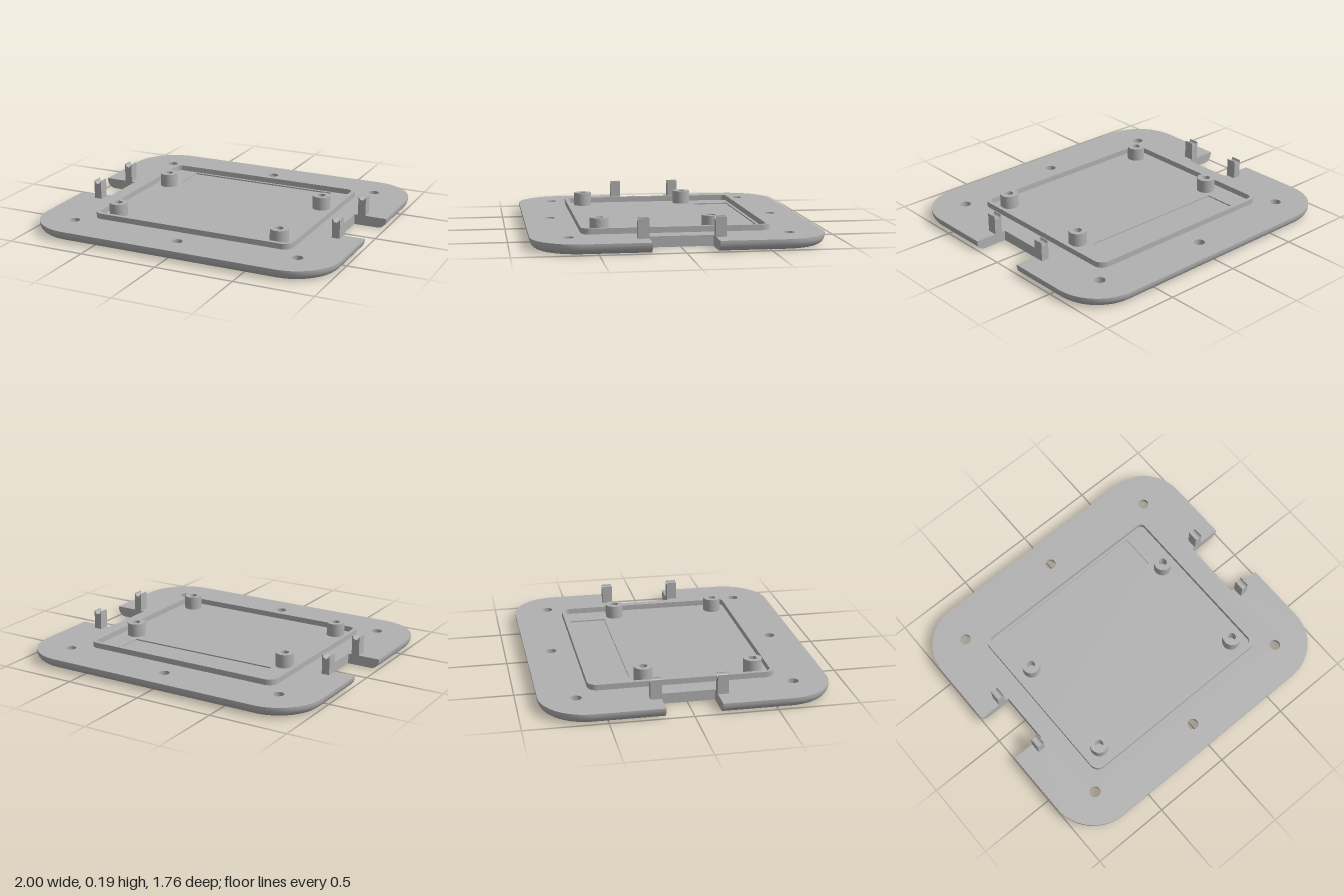
import * as THREE from 'three';
import { toCreasedNormals } from 'three/addons/utils/BufferGeometryUtils.js';

const TOP = 0.065, W = 1, D = 0.88, CORNER = 0.29, ROUND = 0.055;
const V = (x, s) => new THREE.Vector2(x, s); // plan coordinates, s = -z

// Counter-clockwise rounded rectangle, as four lists of corner points
function corners(w, d, r, n = 12) {
  return [[1, 1], [-1, 1], [-1, -1], [1, -1]].map(([sx, sz], k) =>
    Array.from({ length: n + 1 }, (_, i) => {
      const a = (k + i / n) * Math.PI / 2;
      return V(sx * (w - r) + r * Math.cos(a), sz * (d - r) + r * Math.sin(a));
    }));
}

// Plate outline moved in by a distance, with a cutout in each side
function plateOutline(inset) {
  const w = W - inset;
  const [a, b, c, d] = corners(w, D - inset, CORNER - inset);
  return [
    ...a, ...b,
    V(-w, 0.168), V(-0.79, 0.168), V(-0.79, -0.168), V(-w, -0.168),
    ...c, ...d,
    V(w, -0.195), V(0.79, -0.195), V(0.79, 0.195), V(w, 0.195),
  ];
}

function circlePath(x, s, r) {
  return new THREE.Path().absarc(x, s, r, 0, Math.PI * 2, true);
}

// Flat horizontal face
function cap(points, holes, y, down = false) {
  const shape = new THREE.Shape(points);
  shape.holes.push(...holes);
  const g = new THREE.ShapeGeometry(shape, 16);
  g.rotateX(-Math.PI / 2).translate(0, y, 0);
  if (down) {
    g.index.array.reverse();
    g.computeVertexNormals();
  }
  return g;
}

// Wall through a stack of outlines [points, y]
function loft(loops) {
  const pos = [], index = [], n = loops[0][0].length;
  loops.forEach(([pts, y]) => pts.forEach(p => pos.push(p.x, y, -p.y)));
  for (let k = 0; k < loops.length - 1; k++) {
    for (let i = 0; i < n; i++) {
      const a = k * n + i, b = k * n + (i + 1) % n;
      index.push(a, b, b + n, a, b + n, a + n);
    }
  }
  const g = new THREE.BufferGeometry();
  g.setAttribute('position', new THREE.Float32BufferAttribute(pos, 3));
  g.setIndex(index);
  return toCreasedNormals(g, 0.6);
}

function lathe(profile) {
  const g = new THREE.LatheGeometry(profile.map(([r, y]) => V(r, y)), 32);
  return toCreasedNormals(g, 0.6);
}

export function createModel() {
  const model = new THREE.Group();
  model.name = 'basePlate';
  const grey = new THREE.MeshStandardMaterial({ color: 0xb0b0b0 });
  grey.name = 'grey';
  const add = (name, geometry, x = 0, y = 0, z = 0) => {
    const mesh = new THREE.Mesh(geometry, grey);
    mesh.name = name;
    mesh.position.set(x, y, z);
    model.add(mesh);
  };

  // Plate: rounded lower edge, screw holes and a shallow recess
  const screws = [-1, 1].flatMap(s => [[-0.754, s * 0.657], [0, s * 0.717], [0.754, s * 0.657]]);
  const holes = r => screws.map(([x, s]) => circlePath(x, s, r));
  const recess = [V(-0.5, 0.3), V(0.5, 0.3), V(0.5, 0.53), V(-0.5, 0.53)];
  const edge = [];
  for (let i = 0; i <= 6; i++) {
    const a = i / 6 * Math.PI / 2;
    edge.push([plateOutline(ROUND * (1 - Math.sin(a))), ROUND * (1 - Math.cos(a))]);
  }
  edge.push([plateOutline(0), TOP]);
  add('plateEdge', loft(edge));
  add('plateTop', cap(plateOutline(0), [...holes(0.034), new THREE.Path(recess)], TOP));
  add('plateBottom', cap(plateOutline(ROUND), holes(0.06), 0, true));
  add('recessWall', loft([[recess, TOP], [recess, TOP - 0.008]]));
  add('recessFloor', cap(recess, [], TOP - 0.008));

  // Counterbored screw holes
  const bore = lathe([[0.034, TOP], [0.034, 0.035], [0.06, 0.035], [0.06, 0]]);
  screws.forEach(([x, s]) => add('screwHole', bore, x, 0, -s));

  // Raised rim
  const outer = corners(0.67, 0.573, 0.06).flat();
  const inner = corners(0.645, 0.548, 0.035).flat();
  add('rim', loft([[outer, TOP], [outer, 0.1], [inner, 0.1], [inner, TOP]]));

  // Hollow standoffs
  const standoff = lathe([[0.057, TOP], [0.057, 0.15], [0.026, 0.15], [0.026, TOP]]);
  for (const x of [-0.552, 0.552]) {
    for (const z of [-0.223, 0.456]) add('standoff', standoff, x, 0, z);
  }

  // Posts with a grooved top beside the cutouts
  const h = 0.12, post = new THREE.Shape();
  post.moveTo(-0.025, 0).lineTo(0.025, 0).lineTo(0.025, h).lineTo(0.021, h);
  post.absarc(0, h, 0.021, 0, Math.PI, true);
  post.lineTo(-0.025, h);
  const postGeometry = new THREE.ExtrudeGeometry(post, { depth: 0.066, bevelEnabled: false, curveSegments: 12 });
  postGeometry.translate(0, 0, -0.033);
  for (const [x, z] of [[-0.837, 0.201], [0.837, 0.228]]) {
    for (const side of [-1, 1]) add('post', postGeometry, x, TOP, side * z);
  }
  return model;
}
